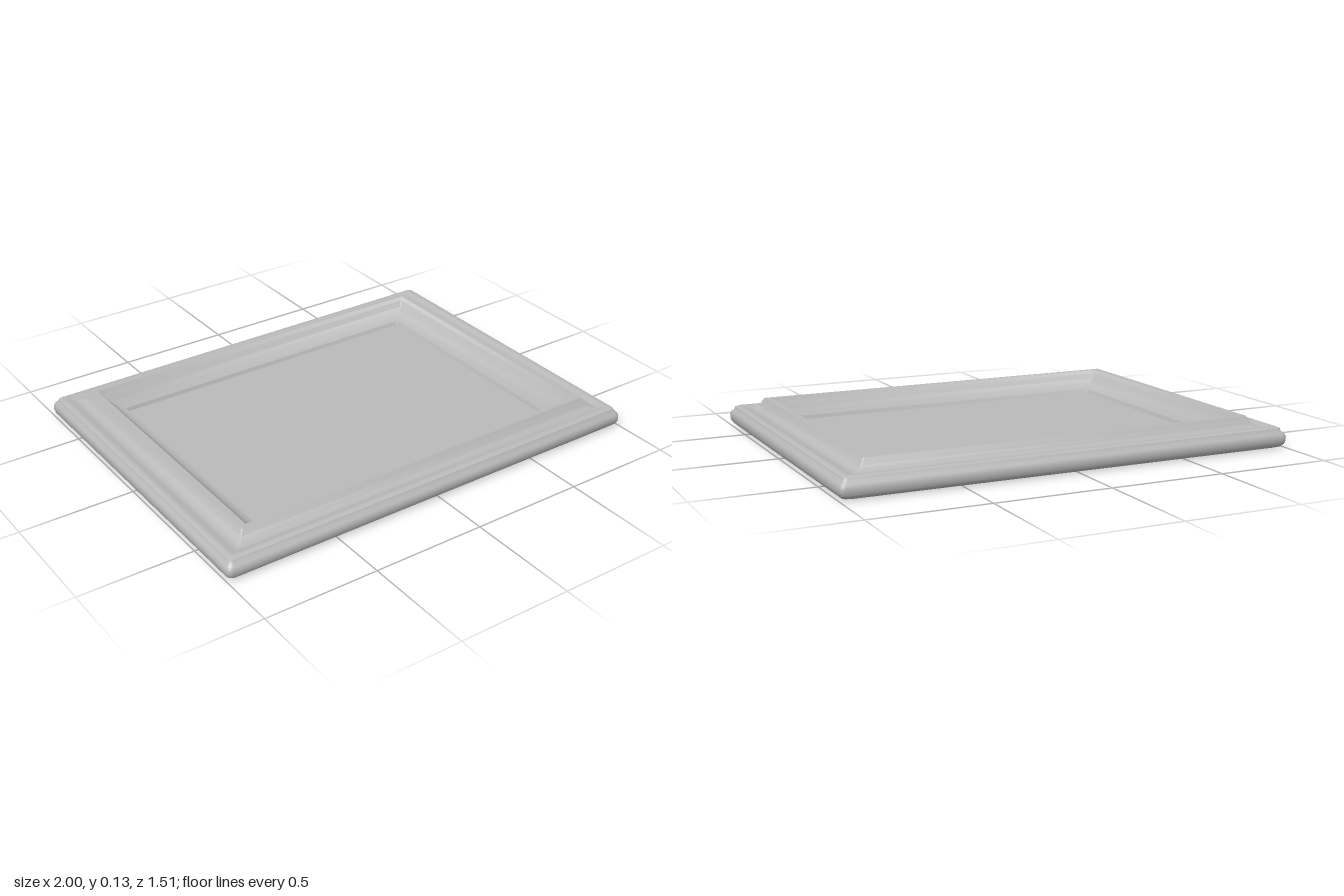
import * as THREE from 'three';
import { toCreasedNormals } from 'three/addons/utils/BufferGeometryUtils.js';

// One rectangular ring with slightly rounded corners, seen from above.
function ring(hx, hz, y, r) {
  const points = [];
  const corners = [[1, 1], [1, -1], [-1, -1], [-1, 1]];
  corners.forEach(([sx, sz], c) => {
    for (let i = 0; i <= 3; i++) {
      const a = Math.PI / 2 - (c + i / 3) * Math.PI / 2;
      points.push([sx * (hx - r) + r * Math.cos(a), y, sz * (hz - r) + r * Math.sin(a)]);
    }
  });
  return points;
}

// Joins successive rings into a continuous mitred moulding.
function sweepRings(rings) {
  const positions = [];
  for (let k = 0; k < rings.length - 1; k++) {
    const a = rings[k], b = rings[k + 1], n = a.length;
    for (let i = 0; i < n; i++) {
      const j = (i + 1) % n;
      positions.push(...a[i], ...a[j], ...b[j], ...a[i], ...b[j], ...b[i]);
    }
  }
  const geometry = new THREE.BufferGeometry();
  geometry.setAttribute('position', new THREE.Float32BufferAttribute(positions, 3));
  return toCreasedNormals(geometry, 0.6);
}

export function createModel() {
  const model = new THREE.Group();
  const grey = new THREE.MeshStandardMaterial({ color: 0xbababa });
  grey.name = 'plain grey';

  const panelX = 0.742, panelZ = 0.528, panelY = 0.038;

  // Moulding profile: half width, half depth, height, corner radius
  const profile = [
    [panelX, panelZ, 0, 0.004],       // flat back
    [0.965, 0.72, 0, 0.02],
    [0.985, 0.74, 0.007, 0.02],       // rounded outer edge
    [0.996, 0.751, 0.019, 0.02],
    [1.0, 0.755, 0.034, 0.02],
    [1.0, 0.755, 0.05, 0.02],
    [0.995, 0.75, 0.063, 0.02],
    [0.984, 0.739, 0.073, 0.018],
    [0.979, 0.734, 0.085, 0.015],     // outer bead
    [0.968, 0.723, 0.09, 0.012],
    [0.945, 0.706, 0.09, 0.01],
    [0.935, 0.698, 0.084, 0.008],     // shallow channel
    [0.91, 0.678, 0.084, 0.006],
    [0.895, 0.664, 0.09, 0.005],      // slope up to the ridge
    [0.882, 0.651, 0.105, 0.005],
    [0.868, 0.637, 0.13, 0.005],
    [0.838, 0.618, 0.13, 0.004],      // ridge
    [0.826, 0.606, 0.116, 0.004],     // coved inner slope
    [0.81, 0.59, 0.092, 0.004],
    [0.785, 0.57, 0.07, 0.004],
    [0.758, 0.546, 0.056, 0.004],
    [0.748, 0.534, 0.054, 0.004],     // small inner lip
    [panelX, panelZ, panelY, 0.004],
  ];
  const frame = new THREE.Mesh(sweepRings(profile.map((p) => ring(...p))), grey);
  frame.name = 'frameMoulding';
  model.add(frame);

  // Recessed panel filling the opening
  const panel = new THREE.Mesh(new THREE.BoxGeometry(panelX * 2, panelY, panelZ * 2), grey);
  panel.position.y = panelY / 2;
  panel.name = 'recessedPanel';
  model.add(panel);

  return model;
}
